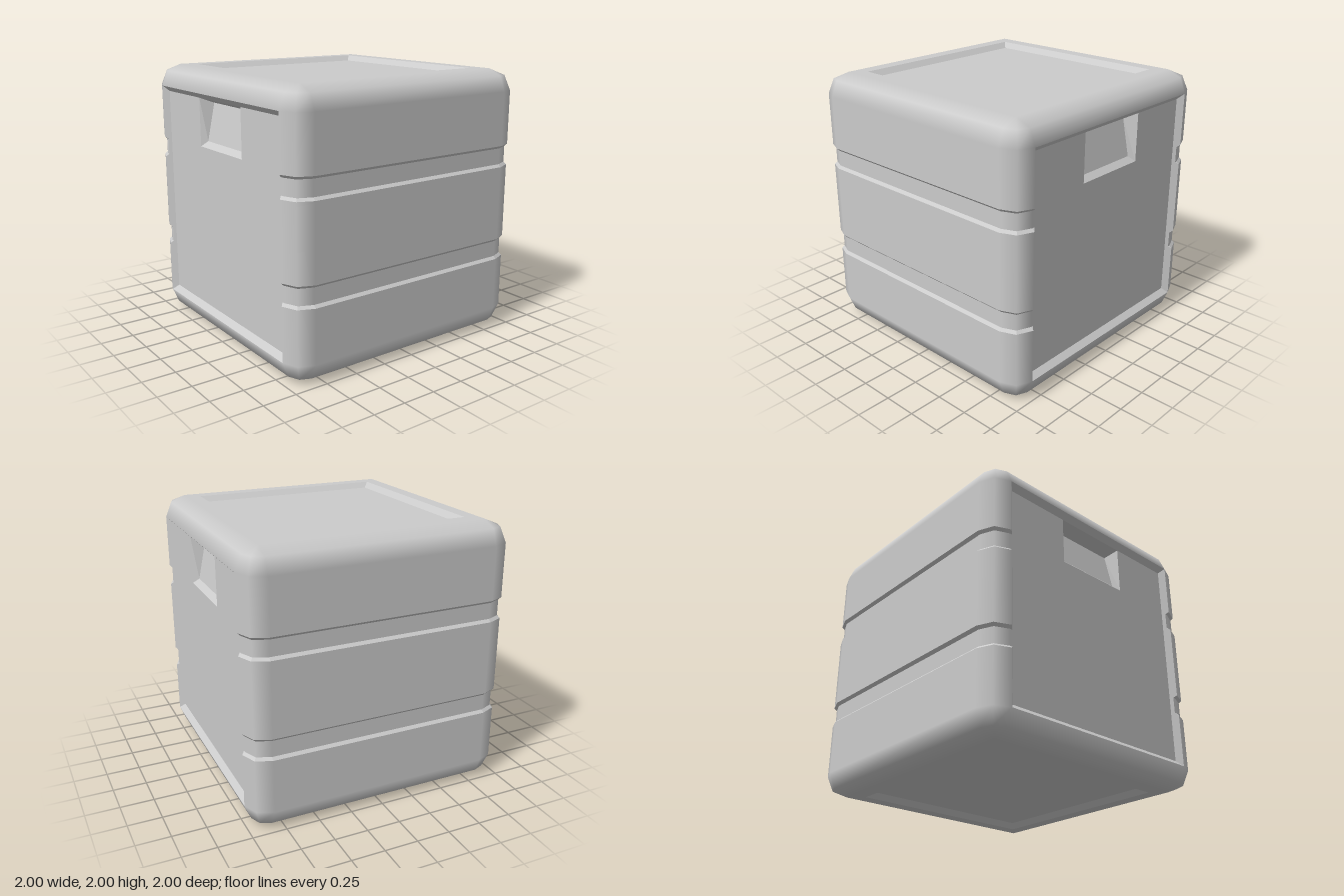
import * as THREE from 'three';

const CORE = 0.84;   // half size of the flat faces
const R = 0.16;      // edge rounding
const D = 0.04;      // depth of the recessed panels
const material = new THREE.MeshStandardMaterial({ color: 0xcccccc });

// Normal of the rounded cube at p, with its distance from the flat core
function shellNormal(p) {
  const q = p.clone();
  q.y -= 1;
  const core = q.clone().clampScalar(-CORE, CORE);
  const n = q.sub(core);
  return { n: n.clone().normalize(), dist: n.length() };
}

// Joins rows of points (rows go up or inward, columns to the right);
// rounded areas get smooth normals, bevels stay flat
function loft(patches) {
  const pos = [], nor = [];
  const tri = (...pts) => {
    const [a, b, c] = pts;
    const flat = b.clone().sub(a).cross(c.clone().sub(a));
    if (flat.length() < 1e-7) return;
    flat.normalize();
    const shell = pts.map(shellNormal);
    const smooth = shell.every(s => s.dist > 0.1 && Math.abs(s.dist - shell[0].dist) < 1e-4);
    pts.forEach((p, i) => {
      pos.push(p.x, p.y, p.z);
      nor.push(...(smooth ? shell[i].n : flat).toArray());
    });
  };
  for (const rows of patches) {
    for (let i = 0; i < rows.length - 1; i++) {
      for (let j = 0; j < rows[i].length - 1; j++) {
        const a = rows[i][j], b = rows[i][j + 1], c = rows[i + 1][j + 1], d = rows[i + 1][j];
        tri(a, b, c);
        tri(a, c, d);
      }
    }
  }
  const g = new THREE.BufferGeometry();
  g.setAttribute('position', new THREE.Float32BufferAttribute(pos, 3));
  g.setAttribute('normal', new THREE.Float32BufferAttribute(nor, 3));
  return g;
}

const v = (x, y, z) => new THREE.Vector3(x, y, z);

// Side wall with two horizontal grooves, wrapping round to the panel edges
function sideGeometry() {
  const levels = [[0.16, 0], [0.56, 0], [0.58, 0.02], [0.70, 0.02], [0.72, 0],
    [1.28, 0], [1.30, 0.02], [1.42, 0.02], [1.44, 0], [1.84, 0]];
  const rows = levels.map(([y, g]) => {
    const r = R - g, k = r * Math.SQRT1_2;
    const yIn = THREE.MathUtils.clamp(y, 0.20, 1.80);
    const half = [v(CORE - D, yIn, 1 - D), v(CORE - g, y, 1 - g), v(CORE, y, 1 - g),
      v(CORE + k, y, CORE + k), v(1 - g, y, CORE)];
    const back = half.map(p => v(p.x, p.y, -p.z)).reverse();
    return [...half, ...back];
  });
  return loft([rows]);
}

// Closed horizontal ring: square of half size c with corners of radius r
function ring(c, r, y) {
  const pts = [];
  for (let q = 0; q < 4; q++) {
    const mid = (q + 0.5) * Math.PI / 2;
    const cx = c * Math.sign(Math.cos(mid)), cz = -c * Math.sign(Math.sin(mid));
    for (let s = 0; s < 3; s++) {
      const a = (q + s / 2) * Math.PI / 2;
      pts.push(v(cx + r * Math.cos(a), y, cz - r * Math.sin(a)));
    }
  }
  return [...pts, pts[0].clone()];
}

// Rounded lid with a sunken square
function capGeometry() {
  const k = R * Math.SQRT1_2;
  return loft([[ring(CORE, R, 1 + CORE), ring(CORE, k, 1 + CORE + k), ring(CORE, 0, 2),
    ring(0.74, 0, 2), ring(0.70, 0, 2 - D), ring(0, 0, 2 - D)]]);
}

// Sunken panel with bevelled top and bottom edges, open where the grip sits
function panelGeometry() {
  const z = 1 - D, e = CORE - D;
  const rect = (x0, x1, y0, y1) => [[v(x0, y0, z), v(x1, y0, z)], [v(x0, y1, z), v(x1, y1, z)]];
  return loft([
    [[v(-CORE, 0.16, 1), v(CORE, 0.16, 1)], [v(-e, 0.20, z), v(e, 0.20, z)]],
    [[v(-e, 1.80, z), v(e, 1.80, z)], [v(-CORE, 1.84, 1), v(CORE, 1.84, 1)]],
    rect(-e, -0.30, 0.20, 1.80),
    rect(0.30, e, 0.20, 1.80),
    rect(-0.30, 0.30, 0.20, 1.44),
  ]);
}

// Grip pocket, deeper at the top
function gripGeometry() {
  const loop = (x, y0, y1, z0, z1) =>
    [v(-x, y0, z0), v(x, y0, z0), v(x, y1, z1), v(-x, y1, z1), v(-x, y0, z0)];
  const z = 1 - D;
  const outer = loop(0.30, 1.44, 1.80, z, z);
  const inner = loop(0.26, 1.48, 1.76, z - 0.04, z - 0.10);
  return loft([[outer, inner], [[inner[0], inner[1]], [inner[3], inner[2]]]]);
}

export function createModel() {
  const model = new THREE.Group();
  model.name = 'crate';
  const add = (geometry, name) => {
    const mesh = new THREE.Mesh(geometry, material);
    mesh.name = name;
    model.add(mesh);
    return mesh;
  };

  const side = sideGeometry(), panel = panelGeometry(), grip = gripGeometry(), cap = capGeometry();

  // Opposite walls are half-turn copies
  add(side, 'leftSide');
  add(side, 'rightSide').rotation.y = Math.PI;
  for (const [name, turn] of [['front', 0], ['back', Math.PI]]) {
    add(panel, name + 'Panel').rotation.y = turn;
    add(grip, name + 'Grip').rotation.y = turn;
  }

  // Lid and base
  add(cap, 'lid');
  const base = add(cap, 'base');
  base.rotation.x = Math.PI;
  base.position.y = 2;

  return model;
}
